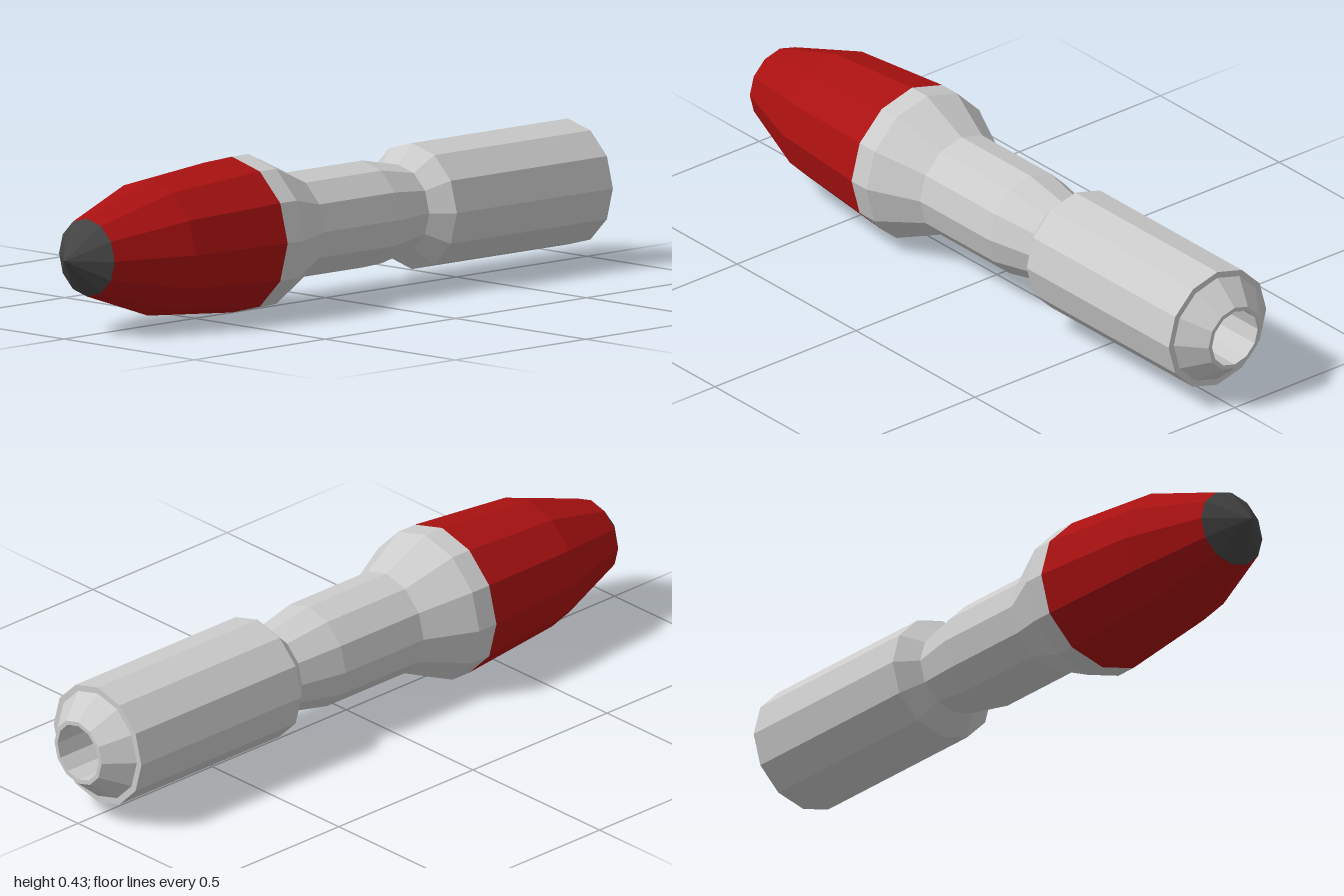
import * as THREE from 'three';

const SIDES = 12;
const AXIS_Y = 0.214;

// Turned part: profile of [radius, z] pairs running from back to front.
function turned(name, profile, color = 0xcccccc) {
  const points = profile.map(([r, z]) => new THREE.Vector2(r, z));
  const geometry = new THREE.LatheGeometry(points, SIDES);
  geometry.rotateX(Math.PI / 2); // lathe axis y becomes z
  const material = new THREE.MeshStandardMaterial({ color, flatShading: true, side: THREE.DoubleSide });
  const mesh = new THREE.Mesh(geometry, material);
  mesh.name = name;
  return mesh;
}

export function createModel() {
  const model = new THREE.Group();
  model.name = 'missile';
  const body = new THREE.Group();
  body.name = 'body';
  body.position.y = AXIS_Y;
  model.add(body);

  body.add(
    // Nozzle with an open bore
    turned('nozzle', [[0, -0.7], [0.081, -0.7], [0.081, -1], [0.093, -1], [0.155, -0.927]]),
    // Rear motor casing with flat rim and chamfered front
    turned('motorCasing', [[0.155, -0.927], [0.173, -0.927], [0.173, -0.33], [0.12, -0.277]]),
    // Slim neck flaring into the shoulder
    turned('neck', [[0.12, -0.277], [0.147, -0.14], [0.147, 0.15]]),
    turned('shoulder', [[0.147, 0.15], [0.214, 0.295], [0.214, 0.358]]),
    // Red warhead and dark tip
    turned('warhead', [[0.214, 0.358], [0.186, 0.68], [0.107, 0.913]], 0xaa1111),
    turned('tip', [[0.107, 0.913], [0, 1]], 0x444444)
  );
  return model;
}
